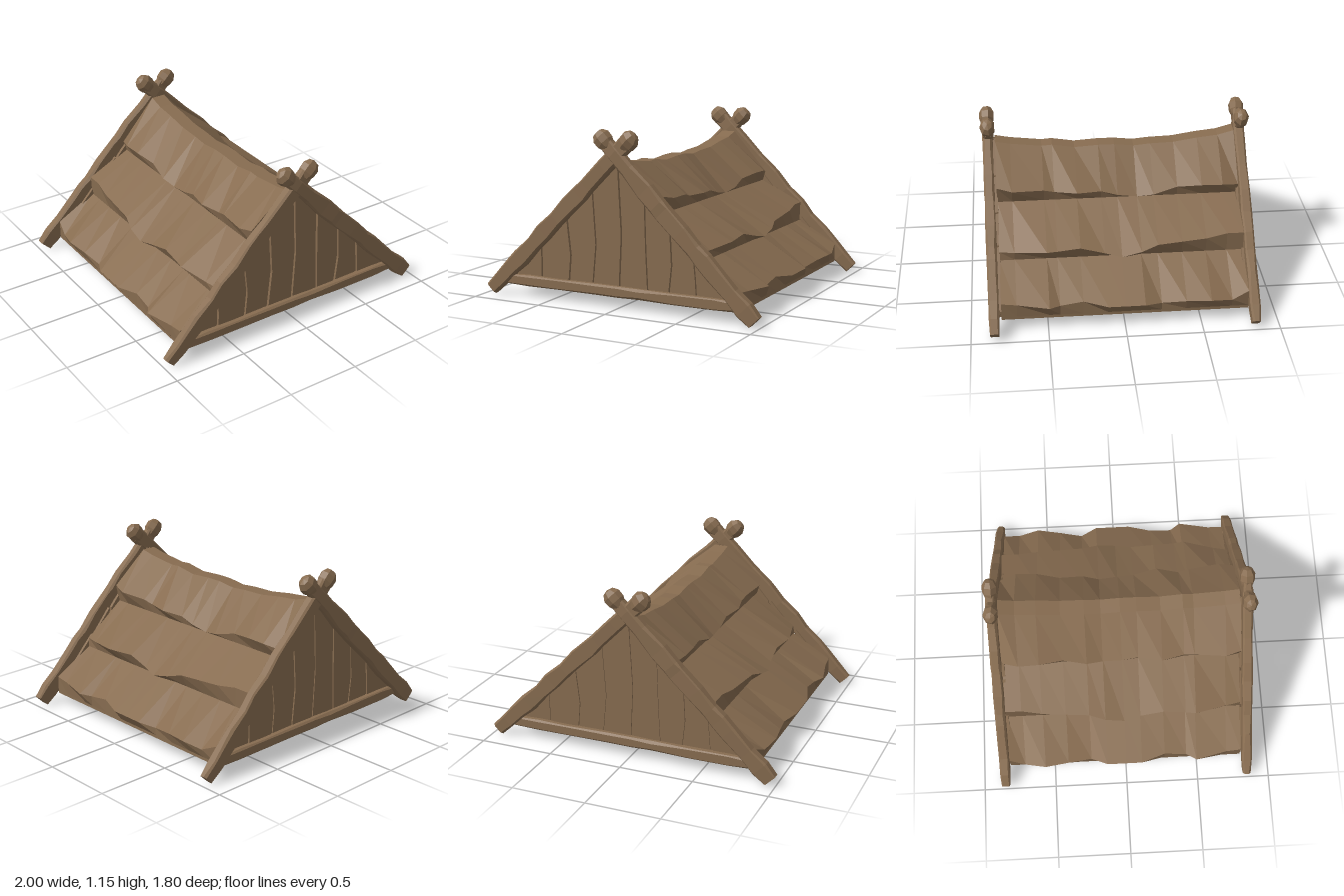
import * as THREE from 'three';

const wood = new THREE.MeshStandardMaterial({ color: 0x876c50, flatShading: true });
wood.name = 'weathered wood';

// Small seeded generator returning -1..1
function seeded(seed) {
  let s = seed * 7919 + 17;
  return () => {
    s = (s * 16807) % 2147483647;
    return (s / 2147483647) * 2 - 1;
  };
}

// Closed skin over a row of rings, each counter-clockwise about the direction of travel
function loft(rings) {
  const pos = [];
  const tri = (...pts) => pts.forEach((p) => pos.push(p.x, p.y, p.z));
  const n = rings[0].length;
  for (let r = 0; r < rings.length - 1; r++) {
    const a = rings[r], b = rings[r + 1];
    for (let i = 0; i < n; i++) {
      const j = (i + 1) % n;
      tri(a[i], a[j], b[j]);
      tri(a[i], b[j], b[i]);
    }
  }
  const first = rings[0], last = rings[rings.length - 1];
  const centre = (ring) => ring.reduce((c, p) => c.add(p), new THREE.Vector3()).divideScalar(n);
  const c0 = centre(first), c1 = centre(last);
  for (let i = 0; i < n; i++) {
    const j = (i + 1) % n;
    tri(c0, first[j], first[i]);
    tri(c1, last[i], last[j]);
  }
  const g = new THREE.BufferGeometry();
  g.setAttribute('position', new THREE.Float32BufferAttribute(pos, 3));
  g.computeVertexNormals();
  return g;
}

function part(name, geometry) {
  const m = new THREE.Mesh(geometry, wood);
  m.name = name;
  return m;
}

// Rough-hewn beam along +x with chamfered edges
function beamGeometry(length, h, t, steps, wobble, seed) {
  const rnd = seeded(seed);
  const rings = [];
  for (let s = 0; s <= steps; s++) {
    const end = s === 0 || s === steps;
    const hh = (end ? h * 0.9 : h) + rnd() * wobble;
    const tt = (end ? t * 0.85 : t) + rnd() * wobble * 0.4;
    const c = 0.012 + 0.006 * rnd();
    const x = length * (s / steps) + (end ? 0 : rnd() * 0.3 * length / steps);
    const dy = rnd() * wobble * 0.5;
    rings.push([
      [hh, -tt + c], [hh, tt - c], [hh - c, tt], [-hh + c, tt],
      [-hh, tt - c], [-hh, -tt + c], [-hh + c, -tt], [hh - c, -tt],
    ].map(([y, z]) => new THREE.Vector3(x, y + dy, z)));
  }
  return loft(rings);
}

// Three overlapping courses: [z, ridge y, lip 1 x, y, lip 2 x, y, lip 3 x, y]
const courses = [
  [-0.81, 0.98, 0.30, 0.70, 0.58, 0.49, 0.85, 0.21],
  [-0.70, 0.95, 0.335, 0.72, 0.58, 0.49, 0.87, 0.16],
  [-0.56, 0.935, 0.33, 0.72, 0.60, 0.47, 0.90, 0.18],
  [-0.40, 0.91, 0.30, 0.70, 0.61, 0.46, 0.875, 0.17],
  [-0.24, 0.905, 0.32, 0.66, 0.62, 0.45, 0.85, 0.15],
  [-0.13, 0.895, 0.30, 0.64, 0.65, 0.42, 0.90, 0.17],
  [0.00, 0.91, 0.305, 0.66, 0.655, 0.39, 0.90, 0.17],
  [0.11, 0.91, 0.30, 0.69, 0.63, 0.41, 0.90, 0.17],
  [0.27, 0.90, 0.335, 0.70, 0.62, 0.45, 0.85, 0.19],
  [0.42, 0.925, 0.30, 0.70, 0.63, 0.44, 0.855, 0.17],
  [0.49, 0.92, 0.31, 0.72, 0.64, 0.44, 0.90, 0.18],
  [0.70, 0.945, 0.335, 0.73, 0.59, 0.42, 0.855, 0.19],
  [0.80, 0.965, 0.31, 0.75, 0.57, 0.42, 0.85, 0.20],
];

function roofGeometry() {
  return loft(courses.map(([z, ry, ax, ay, bx, by, cx, cy]) => {
    const half = [
      [0.85, 0.08], [0.85, 0.10], [cx, cy],
      [0.575, 0.36], [bx, by],
      [0.285, 0.635], [ax, ay],
      [0.05, ry],
    ];
    const other = half.map(([x, y]) => [-x, y]).reverse();
    return [...half, ...other].map(([x, y]) => new THREE.Vector3(x, y, z));
  }));
}

// Bent gaps between the gable planks: x at bottom, middle, top
const gaps = [
  [-0.84, -0.84, -0.84],
  [-0.585, -0.58, -0.585],
  [-0.375, -0.355, -0.385],
  [-0.195, -0.165, -0.19],
  [0.005, 0.025, 0.0],
  [0.215, 0.20, 0.19],
  [0.36, 0.385, 0.37],
  [0.56, 0.55, 0.53],
  [0.84, 0.84, 0.84],
];

function plankGeometry(left, right, depth) {
  const edge = ([b, m, t], side) => {
    const top = Math.max(0.97 - Math.abs(t), 0.12);
    const o = side * 0.01;
    return [[b + o, 0.09], [m + o, 0.09 + (top - 0.09) * 0.45], [t + o, top]];
  };
  const outline = [...edge(left, 1).reverse(), ...edge(right, -1)];
  const shape = new THREE.Shape(outline.map(([x, y]) => new THREE.Vector2(x, y)));
  return new THREE.ExtrudeGeometry(shape, { depth, bevelEnabled: false });
}

// Faceted knob on the beam tip, pointing along +x
function knobGeometry() {
  const profile = [[0.001, -0.01], [0.045, 0.0], [0.062, 0.035], [0.064, 0.08], [0.04, 0.115], [0.001, 0.125]];
  const g = new THREE.LatheGeometry(profile.map(([x, y]) => new THREE.Vector2(x, y)), 7);
  g.rotateZ(-Math.PI / 2);
  g.scale(1, 1, 0.8);
  return g;
}

function gable() {
  const group = new THREE.Group();
  for (let i = 0; i < gaps.length - 1; i++) {
    const plank = part('gablePlank', plankGeometry(gaps[i], gaps[i + 1], 0.022 + 0.003 * (i % 2)));
    plank.position.z = 0.795;
    group.add(plank);
  }

  const tie = part('tieBeam', beamGeometry(1.68, 0.035, 0.025, 8, 0.002, 5));
  tie.position.set(-0.84, 0.115, 0.83);
  group.add(tie);

  // Crossed rafters with knobbed tips
  for (const side of [-1, 1]) {
    const rafter = new THREE.Group();
    rafter.name = side < 0 ? 'rightRafter' : 'leftRafter';
    rafter.add(part('rafterBeam', beamGeometry(1.46, 0.055, 0.034, 12, 0.007, side + 4)));
    const knob = part('rafterKnob', knobGeometry());
    knob.position.x = 1.43;
    rafter.add(knob);
    rafter.position.set(side * 0.963, 0.037, 0.846 + side * 0.002);
    rafter.rotation.z = side < 0 ? Math.PI / 4 : Math.PI * 0.75;
    group.add(rafter);
  }
  return group;
}

export function createModel() {
  const model = new THREE.Group();
  model.name = 'gabledRoof';
  model.add(part('roofCourses', roofGeometry()));

  const front = gable();
  front.name = 'frontGable';
  const back = gable();
  back.name = 'backGable';
  back.rotation.y = Math.PI;
  model.add(front, back);
  return model;
}
